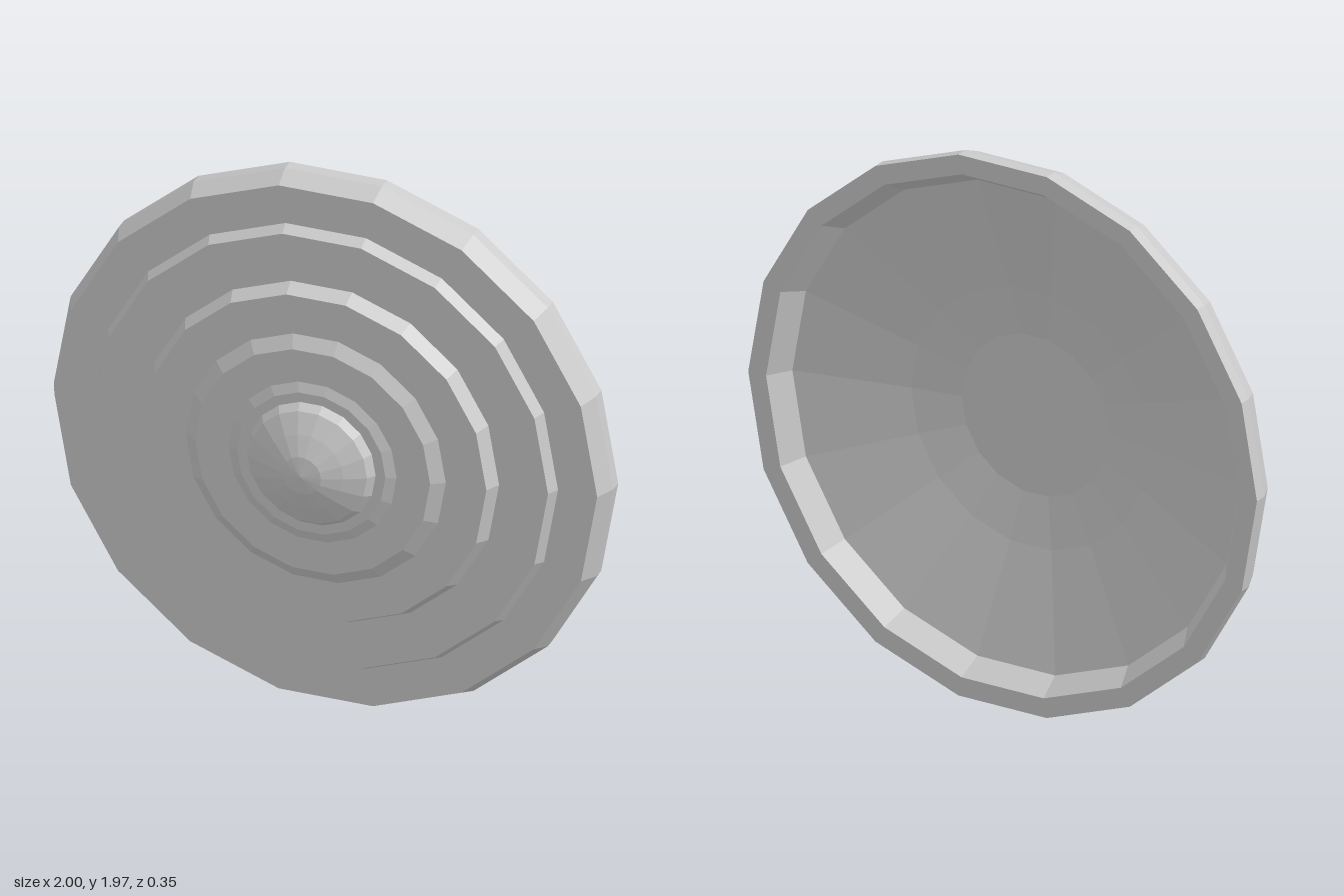
import * as THREE from 'three';

const SIDES = 18;
const CENTRE_Y = 0.985;

export function createModel() {
  const group = new THREE.Group();
  group.name = 'roundShield';
  const material = new THREE.MeshStandardMaterial({ color: 0xcccccc, flatShading: true });

  // Spins a [radius, z] profile about the z axis, with a corner on the x axis
  function addTurned(name, profile) {
    const points = profile.map(([r, z]) => new THREE.Vector2(r, z));
    const geometry = new THREE.LatheGeometry(points, SIDES, Math.PI / 2);
    geometry.rotateX(Math.PI / 2);
    const mesh = new THREE.Mesh(geometry, material);
    mesh.name = name;
    mesh.position.y = CENTRE_Y;
    group.add(mesh);
  }

  // Hollow back: flat middle, two sloping bands, steep inner wall
  addTurned('hollowBack', [
    [0, 0.03], [0.29, 0.03], [0.47, 0], [0.88, -0.09], [0.93, -0.175],
  ]);

  // Rim with bevelled front edge
  addTurned('rim', [
    [0.93, -0.175], [1, -0.175], [1, -0.13], [0.97, -0.06], [0.83, -0.06],
  ]);

  // Stepped front plates, each with a slightly bevelled edge
  addTurned('steppedFace', [
    [0.83, -0.06], [0.81, -0.02],
    [0.635, -0.02], [0.61, 0.032],
    [0.465, 0.032], [0.42, 0.06],
    [0.3, 0.06], [0.265, 0.072],
    [0.23, 0.072],
  ]);

  // Domed centre boss
  addTurned('boss', [
    [0.23, 0.072], [0.21, 0.1], [0.14, 0.135], [0.07, 0.163], [0, 0.173],
  ]);

  return group;
}
